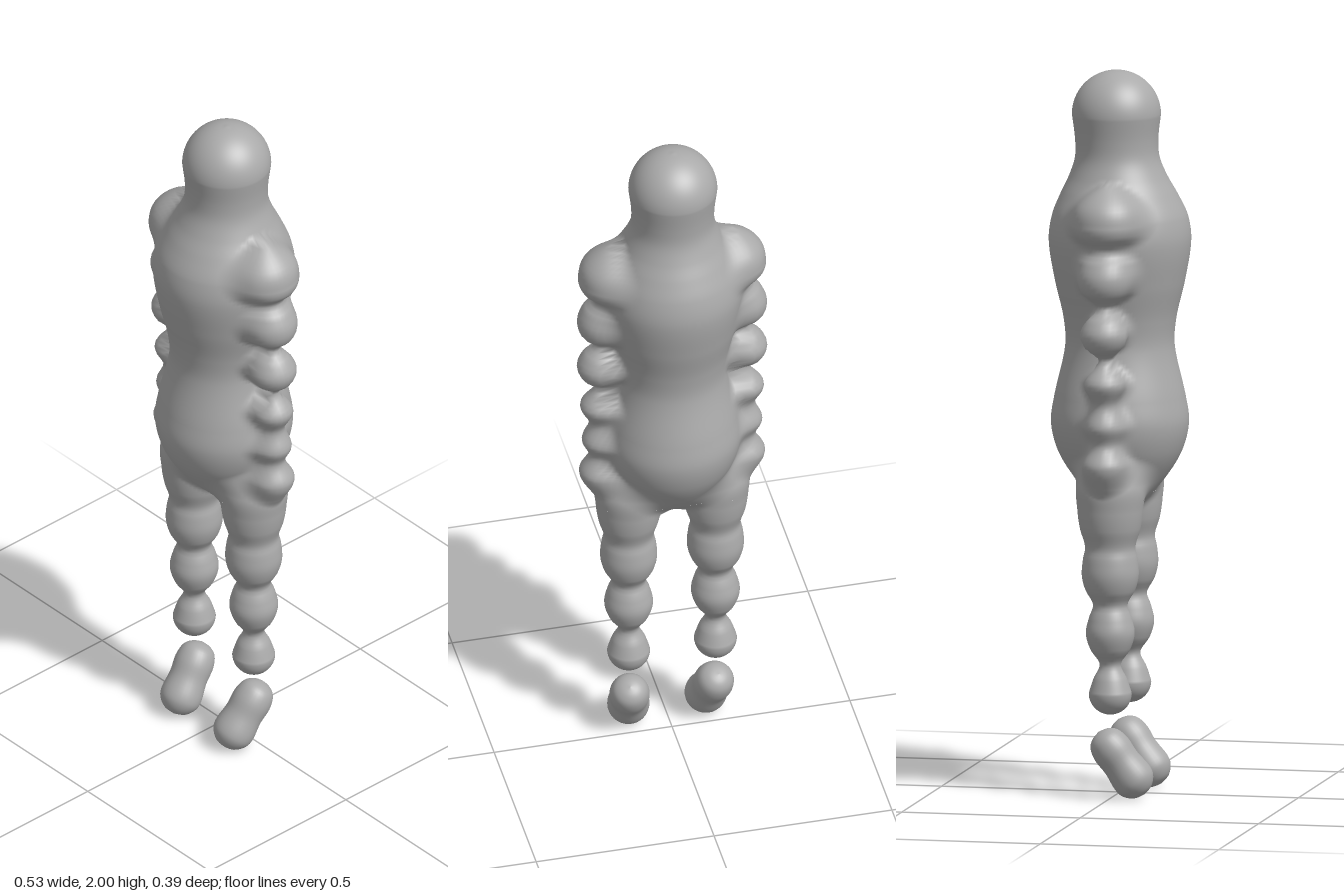
import * as THREE from 'three';

// Smooth height profile through [y, value] keys
function profile(keys) {
  const n = keys.length - 1;
  const slope = i => {
    const a = keys[Math.max(0, i - 1)], b = keys[Math.min(n, i + 1)];
    return (b[1] - a[1]) / (b[0] - a[0]);
  };
  return y => {
    if (y <= keys[0][0]) return keys[0][1];
    if (y >= keys[n][0]) return keys[n][1];
    let i = 0;
    while (y > keys[i + 1][0]) i++;
    const h = keys[i + 1][0] - keys[i][0], t = (y - keys[i][0]) / h, s = 1 - t;
    return keys[i][1] * s * s * (1 + 2 * t) + keys[i + 1][1] * t * t * (3 - 2 * t)
      + h * t * s * (slope(i) * s - slope(i + 1) * t);
  };
}

const ball = (y, cy, r) => Math.sqrt(Math.max(0, r * r - (y - cy) ** 2));

// Radii of the trunk (with head), beaded arms and beaded legs by height
const trunk = profile([[0.74, -0.03], [0.78, 0.02], [0.83, 0.085], [0.9, 0.142], [0.96, 0.174], [1.03, 0.189],
  [1.1, 0.18], [1.24, 0.15], [1.32, 0.155], [1.42, 0.178], [1.53, 0.195], [1.6, 0.186], [1.66, 0.16],
  [1.71, 0.134], [1.76, 0.116], [1.81, 0.114], [1.88, 0.122]]);
const trunkRadius = y => (y > 1.878 ? ball(y, 1.878, 0.122) : trunk(y));
const trunkZ = profile([[1.6, 0], [1.8, -0.009], [1.9, -0.01]]);

const armRadius = profile([[0.82, -0.06], [0.87, 0.025], [0.93, 0.06], [0.99, 0.034], [1.04, 0.052], [1.1, 0.032],
  [1.16, 0.056], [1.225, 0.018], [1.26, 0.053], [1.295, 0.066], [1.33, 0.053], [1.37, 0.022], [1.41, 0.062],
  [1.45, 0.075], [1.49, 0.066], [1.527, 0.045], [1.565, 0.084], [1.6, 0.096], [1.65, 0.08], [1.7, 0.02], [1.76, -0.1]]);
const armX = profile([[0.9, 0.2], [1.3, 0.2], [1.45, 0.19], [1.6, 0.165]]);

const legs = profile([[0.295, 0.059], [0.335, 0.046], [0.375, 0.029], [0.415, 0.054], [0.46, 0.067], [0.505, 0.058],
  [0.54, 0.047], [0.58, 0.068], [0.62, 0.078], [0.665, 0.075], [0.7, 0.069], [0.75, 0.083], [0.8, 0.09],
  [0.87, 0.092], [0.93, 0.06], [1.0, -0.06]]);
const legRadius = y => (y < 0.295 ? ball(y, 0.295, 0.059) : legs(y));
const LEG_X = 0.122;

function blend(a, b, k) {
  const h = Math.max(k - Math.abs(a - b), 0) / k;
  return Math.min(a, b) - h * h * k / 4;
}

// Blended distance to the skin in the horizontal slice at y
function skin(x, y, z) {
  const side = Math.abs(x);
  let d = Math.hypot(x, z - trunkZ(y)) - trunkRadius(y);
  if (y < 1.0) {
    const near = Math.hypot(side - LEG_X, z) - legRadius(y);
    const far = Math.hypot(side + LEG_X, z) - legRadius(y);
    const pair = y > 0.66 ? blend(near, far, 0.05) : near;
    d = y > 0.72 ? blend(d, pair, 0.06) : pair;
  }
  if (y > 0.8 && y < 1.78) d = blend(d, Math.hypot(side - armX(y), z) - armRadius(y), 0.045);
  return d;
}

// Stack of cross-sections, each found by stepping inward from outside the skin
function skinGeometry(cx, y0, y1, rows, cols) {
  const position = [], normal = [], index = [];
  const e = 0.0015, n = new THREE.Vector3();
  for (let i = 0; i <= rows; i++) {
    const y = y0 + (y1 - y0) * (1 - Math.cos(Math.PI * i / rows)) / 2;
    const cz = cx === 0 ? trunkZ(y) : 0;
    for (let j = 0; j < cols; j++) {
      const a = j / cols * Math.PI * 2, c = Math.cos(a), s = Math.sin(a);
      // A leg stops at the middle plane
      let t = cx * c < 0 ? Math.min(0.4, Math.abs(cx / c)) : 0.4;
      for (let k = 0; k < 60; k++) {
        const d = skin(cx + c * t, y, cz + s * t);
        if (d < 1e-5) break;
        t = Math.max(0, t - d * 0.9);
      }
      const x = cx + c * t, z = cz + s * t;
      n.set(skin(x + e, y, z) - skin(x - e, y, z), skin(x, y + e, z) - skin(x, y - e, z),
        skin(x, y, z + e) - skin(x, y, z - e)).normalize();
      position.push(x, y, z);
      normal.push(n.x, n.y, n.z);
      if (i < rows) {
        const p = i * cols + j, q = i * cols + (j + 1) % cols;
        index.push(p, p + cols, q, q, p + cols, q + cols);
      }
    }
  }
  const g = new THREE.BufferGeometry();
  g.setAttribute('position', new THREE.Float32BufferAttribute(position, 3));
  g.setAttribute('normal', new THREE.Float32BufferAttribute(normal, 3));
  g.setIndex(index);
  return g;
}

export function createModel() {
  const model = new THREE.Group();
  model.name = 'beadedFigure';
  const grey = new THREE.MeshStandardMaterial({ color: 0xaaaaaa });
  grey.name = 'grey';
  const add = (name, geometry) => {
    const mesh = new THREE.Mesh(geometry, grey);
    mesh.name = name;
    model.add(mesh);
    return mesh;
  };

  // Head, trunk and arms in one skin
  add('headTrunkAndArms', skinGeometry(0, 0.83, 2.0, 150, 112));

  // Feet share one slightly pinched capsule
  const outline = new THREE.SplineCurve([[0, -0.108], [0.03, -0.1], [0.052, -0.077], [0.058, -0.049], [0.053, 0],
    [0.055, 0.045], [0.046, 0.08], [0.026, 0.098], [0, 0.105]].map(p => new THREE.Vector2(...p)));
  const points = outline.getPoints(32).map(p => new THREE.Vector2(Math.max(0, p.x), p.y));
  const footGeometry = new THREE.LatheGeometry(points, 32);

  for (const [label, side] of [['left', 1], ['right', -1]]) {
    add(label + 'Leg', skinGeometry(side * LEG_X, 0.236, 0.83, 80, 48));
    const foot = add(label + 'Foot', footGeometry);
    const heel = new THREE.Vector3(side * 0.119, 0.143, 0);
    const toe = new THREE.Vector3(side * 0.109, 0.062, 0.058);
    foot.position.copy(heel).add(toe).multiplyScalar(0.5);
    foot.quaternion.setFromUnitVectors(new THREE.Vector3(0, 1, 0), heel.sub(toe).normalize());
  }
  return model;
}
